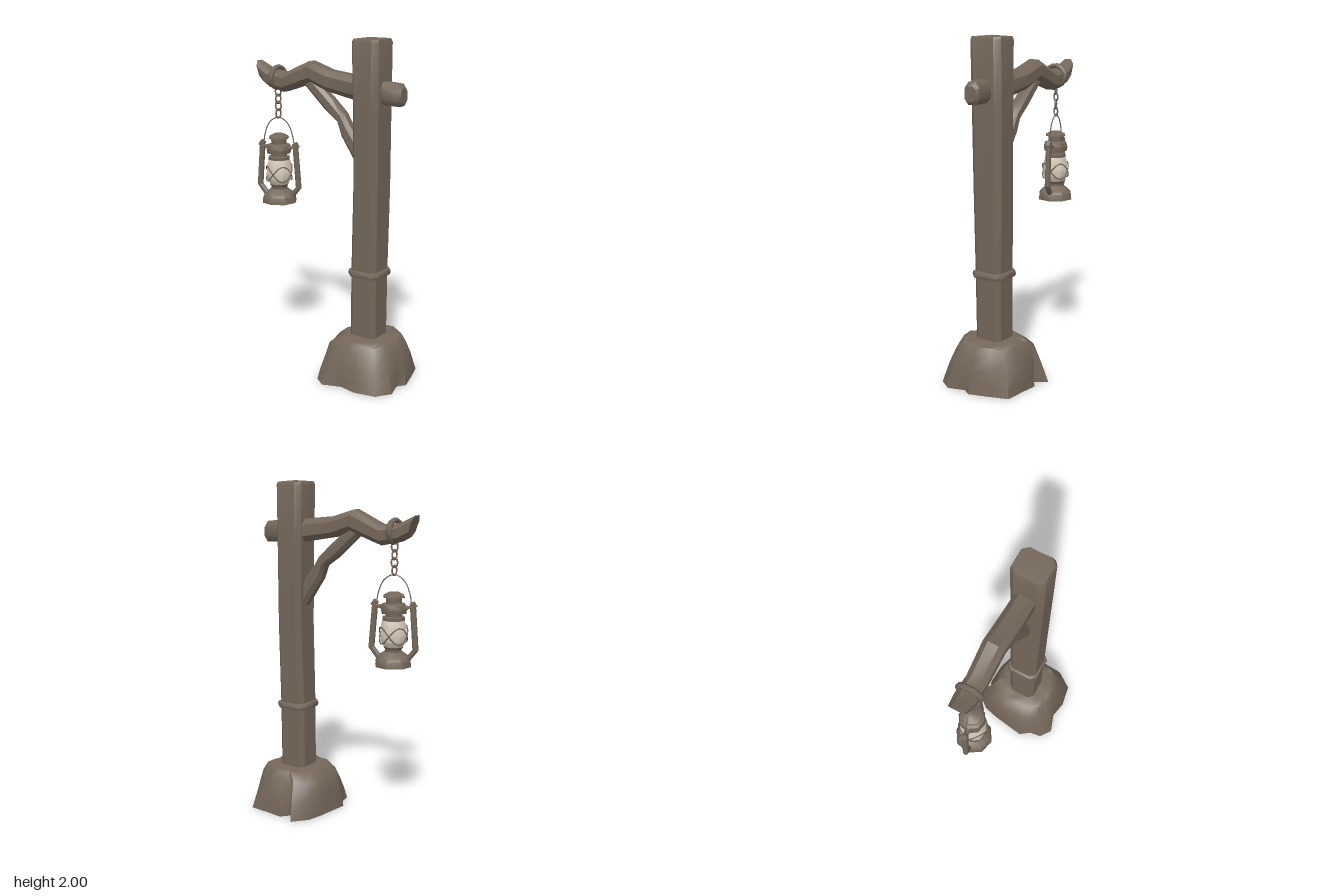
import * as THREE from 'three';
import { toCreasedNormals } from 'three/addons/utils/BufferGeometryUtils.js';

const wood = new THREE.MeshStandardMaterial({ color: 0x75675a });
wood.name = 'weathered brown';
const glass = new THREE.MeshStandardMaterial({ color: 0xd8ccbb });
glass.name = 'cream glass';

const V = (x, y, z) => new THREE.Vector3(x, y, z);

function add(parent, name, geometry, material = wood) {
  const mesh = new THREE.Mesh(geometry, material);
  mesh.name = name;
  parent.add(mesh);
  return mesh;
}

// Skin over rings of points, closed by a fan at each end
function loft(rings, crease = 0.6, startCentre = null, endCentre = null) {
  const pos = [];
  const tri = (...pts) => pts.forEach((p) => pos.push(p.x, p.y, p.z));
  const mean = (ring) => ring.reduce((s, p) => s.add(p), V(0, 0, 0)).divideScalar(ring.length);
  const n = rings[0].length;
  const first = rings[0], last = rings[rings.length - 1];
  const c0 = startCentre || mean(first), c1 = endCentre || mean(last);
  for (let j = 0; j < n; j++) {
    const k = (j + 1) % n;
    for (let i = 0; i < rings.length - 1; i++) {
      const a = rings[i], b = rings[i + 1];
      tri(a[j], a[k], b[k]);
      tri(a[j], b[k], b[j]);
    }
    tri(c0, first[k], first[j]);
    tri(c1, last[j], last[k]);
  }
  const g = new THREE.BufferGeometry();
  g.setAttribute('position', new THREE.Float32BufferAttribute(pos, 3));
  return toCreasedNormals(g, crease);
}

// Square section with cut corners; c is the flat share of each side
const chamfered = (c) => [[1, c], [c, 1], [-c, 1], [-1, c], [-1, -c], [-c, -1], [c, -1], [1, -c]];

// Upright timber: rows of [y, x min, x max, z min, z max]
const upright = (rows, c) => rows.map(([y, x0, x1, z0, z1]) => chamfered(c).map(([u, v]) =>
  V((x0 + x1) / 2 + v * (x1 - x0) / 2, y, (z0 + z1) / 2 + u * (z1 - z0) / 2)));

// Branch in the xy plane: rows of [top x, top y, bottom x, bottom y, half depth]
const branch = (rows, c) => rows.map(([xt, yt, xb, yb, hz]) => chamfered(c).map(([u, v]) =>
  V((xt + xb) / 2 + u * (xt - xb) / 2, (yt + yb) / 2 + u * (yt - yb) / 2, v * hz)));

const lathe = (profile, sides = 8) => toCreasedNormals(
  new THREE.LatheGeometry(profile.map(([r, y]) => new THREE.Vector2(r, y)), sides), 0.8);

function buildMound() {
  const outline = [[0.535, 0], [0.5, -0.12], [0.465, -0.23], [0.34, -0.24], [0.235, -0.255], [0.19, -0.2],
    [0.135, -0.285], [0.06, -0.2], [0.035, -0.1], [0.02, 0], [0.005, 0.1], [0.05, 0.16], [0.06, 0.23],
    [0.13, 0.28], [0.24, 0.24], [0.34, 0.26], [0.47, 0.235], [0.53, 0.15], [0.5, 0.05]];
  // [y, blend to rounded square, centre x, half x, half z]
  const levels = [[0, 0, 0.27, 0.2, 0.2], [0.06, 0.35, 0.27, 0.23, 0.23], [0.13, 0.75, 0.27, 0.225, 0.225],
    [0.205, 1, 0.27, 0.21, 0.205], [0.255, 1, 0.285, 0.165, 0.18], [0.268, 1, 0.285, 0.13, 0.15]];
  const rings = levels.map(([y, w, cx, rx, rz]) => outline.map(([x, z], i) => {
    const a = Math.atan2(z, x - 0.27), c = Math.cos(a), s = Math.sin(a);
    const r = 1 / Math.cbrt(Math.abs(c) ** 3 + Math.abs(s) ** 3);
    const bump = y > 0.05 && y < 0.26 ? 0.012 * Math.sin(i * 2.3) : 0;
    return V(THREE.MathUtils.lerp(x, cx + c * r * rx, w), y + bump, THREE.MathUtils.lerp(z, s * r * rz, w));
  }));
  return loft(rings, 0.8, V(0.27, 0.06, 0), V(0.28, 0.27, 0));
}

function buildLantern() {
  const lantern = new THREE.Group();
  lantern.name = 'lantern';

  add(lantern, 'lanternBase', lathe([[0, 0.975], [0.108, 0.975], [0.104, 1.015], [0.085, 1.035],
    [0.05, 1.06], [0.05, 1.075], [0.06, 1.088], [0, 1.088]]));
  add(lantern, 'glassGlobe', lathe([[0.052, 1.083], [0.076, 1.12], [0.08, 1.16], [0.075, 1.21], [0.064, 1.247]]), glass);
  add(lantern, 'globeCollar', lathe([[0, 1.24], [0.067, 1.24], [0.067, 1.258], [0.05, 1.262], [0.05, 1.285], [0, 1.285]]));
  add(lantern, 'lanternHood', lathe([[0, 1.28], [0.074, 1.28], [0.078, 1.305], [0.07, 1.33], [0.048, 1.338],
    [0.048, 1.37], [0.064, 1.37], [0.062, 1.38], [0.03, 1.398], [0, 1.4]]));

  // Guard wires crossing around the globe
  for (const phase of [1, -1]) {
    const pts = [];
    for (let i = 0; i < 24; i++) {
      const a = (i / 24) * Math.PI * 2, y = 1.155 + phase * 0.048 * Math.sin(2 * a);
      const r = 0.08 - 1.4 * (y - 1.16) ** 2;
      pts.push(V(Math.sin(a) * r, y, Math.cos(a) * r));
    }
    add(lantern, 'guardWire', new THREE.TubeGeometry(new THREE.CatmullRomCurve3(pts, true), 48, 0.004, 4, true));
  }

  // Side tubes of the frame, mirrored
  for (const s of [-1, 1]) {
    const sidePath = [[0.06, 1.31], [0.113, 1.318], [0.132, 1.075], [0.07, 1.0]];
    const rings = sidePath.map(([x, y], i) => {
      const [px, py] = sidePath[Math.max(i - 1, 0)], [nx, ny] = sidePath[Math.min(i + 1, 3)];
      const n = new THREE.Vector2(-(ny - py), nx - px).normalize().multiplyScalar(0.016);
      return chamfered(0.5).map(([u, v]) => V(x + u * n.x, y + u * n.y, v * 0.015));
    });
    const side = add(lantern, s > 0 ? 'leftFrameTube' : 'rightFrameTube', loft(rings, 0.5));
    if (s < 0) side.rotation.y = Math.PI;
    const ear = add(lantern, 'handleEar', new THREE.BoxGeometry(0.028, 0.035, 0.025));
    ear.position.set(s * 0.115, 1.33, 0);
    ear.rotation.z = s * 0.6;
  }

  // Wire bail handle
  const bail = [[-0.105, 1.32], [-0.094, 1.39], [-0.06, 1.465], [0, 1.497], [0.06, 1.465], [0.094, 1.39], [0.105, 1.32]];
  add(lantern, 'bailHandle', new THREE.TubeGeometry(
    new THREE.CatmullRomCurve3(bail.map(([x, y]) => V(x, y, 0))), 24, 0.0035, 5));

  lantern.position.x = -0.392;
  lantern.rotation.y = 0.18;
  return lantern;
}

export function createModel() {
  const model = new THREE.Group();
  model.name = 'lanternPost';

  add(model, 'earthMound', buildMound());

  add(model, 'post', loft(upright([[0.12, 0.182, 0.355, -0.085, 0.085], [0.65, 0.186, 0.357, -0.088, 0.09],
    [1.15, 0.197, 0.362, -0.098, 0.094], [1.6, 0.196, 0.362, -0.1, 0.1], [1.975, 0.187, 0.364, -0.1, 0.105],
    [1.992, 0.194, 0.358, -0.094, 0.098]], 0.68), 0.5, null, V(0.28, 2, 0)));

  // Band tied around the post
  add(model, 'postBand', loft(upright([[0.628, 0.19, 0.352, -0.082, 0.084], [0.634, 0.174, 0.37, -0.1, 0.1],
    [0.65, 0.17, 0.374, -0.104, 0.104], [0.666, 0.174, 0.37, -0.1, 0.1], [0.674, 0.19, 0.352, -0.082, 0.084]], 0.68), 0.8));

  // Crooked arm that runs through the post and ends in a stub
  add(model, 'crossArm', loft(branch([[-0.53, 1.83, -0.487, 1.71, 0.045], [-0.44, 1.785, -0.43, 1.68, 0.06],
    [-0.315, 1.77, -0.325, 1.657, 0.058], [-0.14, 1.848, -0.12, 1.725, 0.062], [0.0, 1.803, -0.01, 1.685, 0.064],
    [0.19, 1.782, 0.18, 1.65, 0.062], [0.36, 1.765, 0.36, 1.638, 0.05], [0.465, 1.757, 0.47, 1.634, 0.048],
    [0.484, 1.735, 0.484, 1.65, 0.036]], 0.5), 0.7));

  add(model, 'diagonalBrace', loft(branch([[-0.1, 1.74, -0.19, 1.72, 0.036], [0.02, 1.64, -0.03, 1.575, 0.04],
    [0.1, 1.565, 0.055, 1.515, 0.042], [0.135, 1.51, 0.085, 1.435, 0.042], [0.24, 1.37, 0.21, 1.25, 0.042]], 0.5), 0.7));

  // Rope loop on the arm
  const loop = add(model, 'ropeLoop', new THREE.TorusGeometry(0.067, 0.016, 6, 14));
  loop.position.set(-0.39, 1.737, 0.003);
  loop.rotation.set(0, Math.PI / 2, 0.06);
  loop.scale.set(1.02, 0.92, 1.1);

  // Chain of alternating oval links
  for (let i = 0; i < 4; i++) {
    const link = add(model, 'chainLink', new THREE.TorusGeometry(0.018, 0.005, 5, 10));
    link.position.set(-0.392, 1.652 - i * 0.044, 0);
    link.rotation.y = i % 2 ? 1.2 : 0.35;
    link.scale.y = 1.45;
  }

  model.add(buildLantern());
  return model;
}
